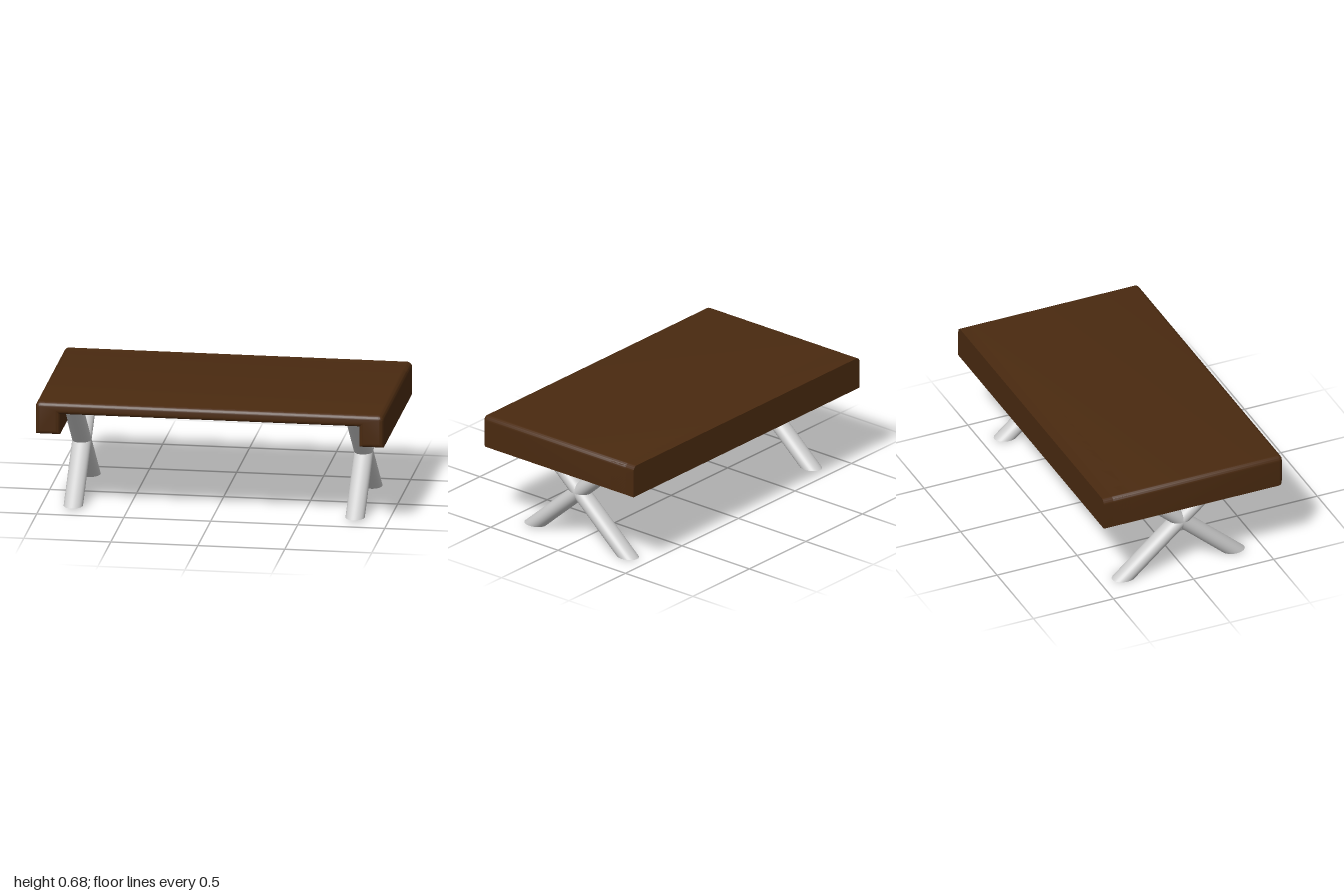
import * as THREE from 'three';
import { toCreasedNormals } from 'three/addons/utils/BufferGeometryUtils.js';

const wood = new THREE.MeshStandardMaterial({ color: 0x4a2a10 });
const metal = new THREE.MeshStandardMaterial({ color: 0xcccccc });

const TOP = 0.68, UNDER = 0.61, LOW = 0.49, INNER = 0.86, R = 0.03;

function addMesh(parent, name, geometry, material) {
  const mesh = new THREE.Mesh(geometry, material);
  mesh.name = name;
  parent.add(mesh);
  return mesh;
}

// Outline seen from the front: rounded upper corners, optional opening below
function outline(open) {
  const s = new THREE.Shape();
  s.moveTo(-1, LOW);
  if (open) {
    s.lineTo(-INNER, LOW);
    s.lineTo(-INNER, UNDER);
    s.lineTo(INNER, UNDER);
    s.lineTo(INNER, LOW);
  }
  s.lineTo(1, LOW);
  s.lineTo(1, TOP - R);
  s.absarc(1 - R, TOP - R, R, 0, Math.PI / 2);
  s.absarc(-1 + R, TOP - R, R, Math.PI / 2, Math.PI);
  s.closePath();
  return s;
}

// Slanted round leg with level cut ends, from (z0, y0) to (z1, y1)
function slantedLeg(z0, y0, z1, y1) {
  const g = new THREE.CylinderGeometry(1, 1, 1, 32);
  const p = g.attributes.position;
  for (let i = 0; i < p.count; i++) {
    const t = p.getY(i) + 0.5;
    p.setXYZ(i, p.getX(i) * 0.055,
      THREE.MathUtils.lerp(y0, y1, t),
      p.getZ(i) * 0.07 + THREE.MathUtils.lerp(z0, z1, t));
  }
  return toCreasedNormals(g, 0.6);
}

export function createModel() {
  const model = new THREE.Group();
  model.name = 'table';

  // Table top with side aprons, front edges softened
  const bevel = 0.025;
  const body = new THREE.ExtrudeGeometry(outline(true), {
    depth: 0.56 - bevel + 0.5, curveSegments: 6,
    bevelEnabled: true, bevelSize: bevel, bevelOffset: -bevel,
    bevelThickness: bevel, bevelSegments: 5,
  });
  body.translate(0, 0, -0.5);
  addMesh(model, 'tableTop', toCreasedNormals(body, 0.6), wood);

  // Back apron closes the rear with square edges
  const back = new THREE.ExtrudeGeometry(outline(false), {
    depth: 0.17, curveSegments: 6, bevelEnabled: false,
  });
  back.translate(0, 0, -0.56);
  addMesh(model, 'backApron', toCreasedNormals(back, 0.6), wood);

  for (const [side, x] of [['left', 0.805], ['right', -0.815]]) {
    // Block in the rear corner holding the leg top
    const block = addMesh(model, side + 'CornerBlock',
      new THREE.BoxGeometry(0.15, UNDER - LOW + 0.02, 0.13), wood);
    block.position.set(Math.sign(x) * 0.795, (UNDER + LOW) / 2 + 0.01, -0.345);

    // Crossed pair of legs
    const frame = new THREE.Group();
    frame.name = side + 'LegFrame';
    frame.position.x = x;
    addMesh(frame, 'frontFootLeg', slantedLeg(0.33, 0.01, -0.345, 0.61), metal);
    addMesh(frame, 'backFootLeg', slantedLeg(-0.353, 0, 0.35, 0.61), metal);
    model.add(frame);
  }
  return model;
}
